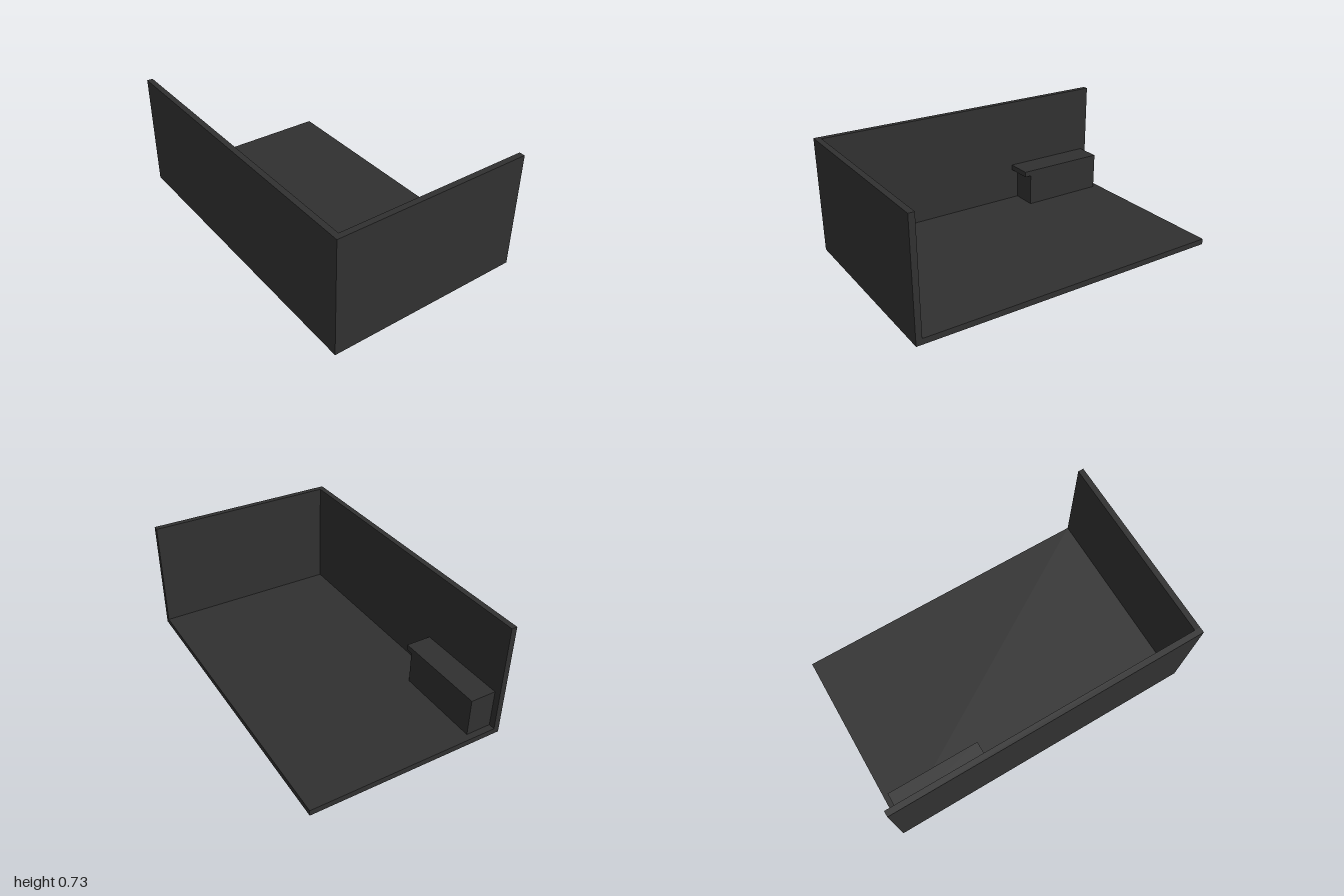
import * as THREE from 'three';

export function createModel() {
  const model = new THREE.Group();
  const charcoal = new THREE.MeshStandardMaterial({ color: 0x303030 });
  charcoal.name = 'charcoal';

  // Overall size and shared wall thickness
  const X = 1, Z = 0.62, H = 0.73, T = 0.036;

  // Box given by its lower and upper corners
  function block(name, [x0, y0, z0], [x1, y1, z1], parent = model) {
    const mesh = new THREE.Mesh(new THREE.BoxGeometry(x1 - x0, y1 - y0, z1 - z0), charcoal);
    mesh.position.set((x0 + x1) / 2, (y0 + y1) / 2, (z0 + z1) / 2);
    mesh.name = name;
    parent.add(mesh);
  }

  // Room shell: floor and two walls meeting at the front left corner
  block('floor', [-X, 0, -Z], [X - T, T, Z - T]);
  block('frontWall', [-X, 0, Z - T], [X, H, Z]);
  block('leftWall', [X - T, 0, -Z], [X, H, Z - T]);

  // Counter against the front wall, its top overhanging at one end
  const counter = new THREE.Group();
  counter.name = 'counter';
  model.add(counter);
  block('counterBody', [-0.96, T, 0.42], [-0.405, 0.245, Z - T], counter);
  block('counterTop', [-0.96, 0.245, 0.42], [-0.36, 0.28, Z - T], counter);

  return model;
}
